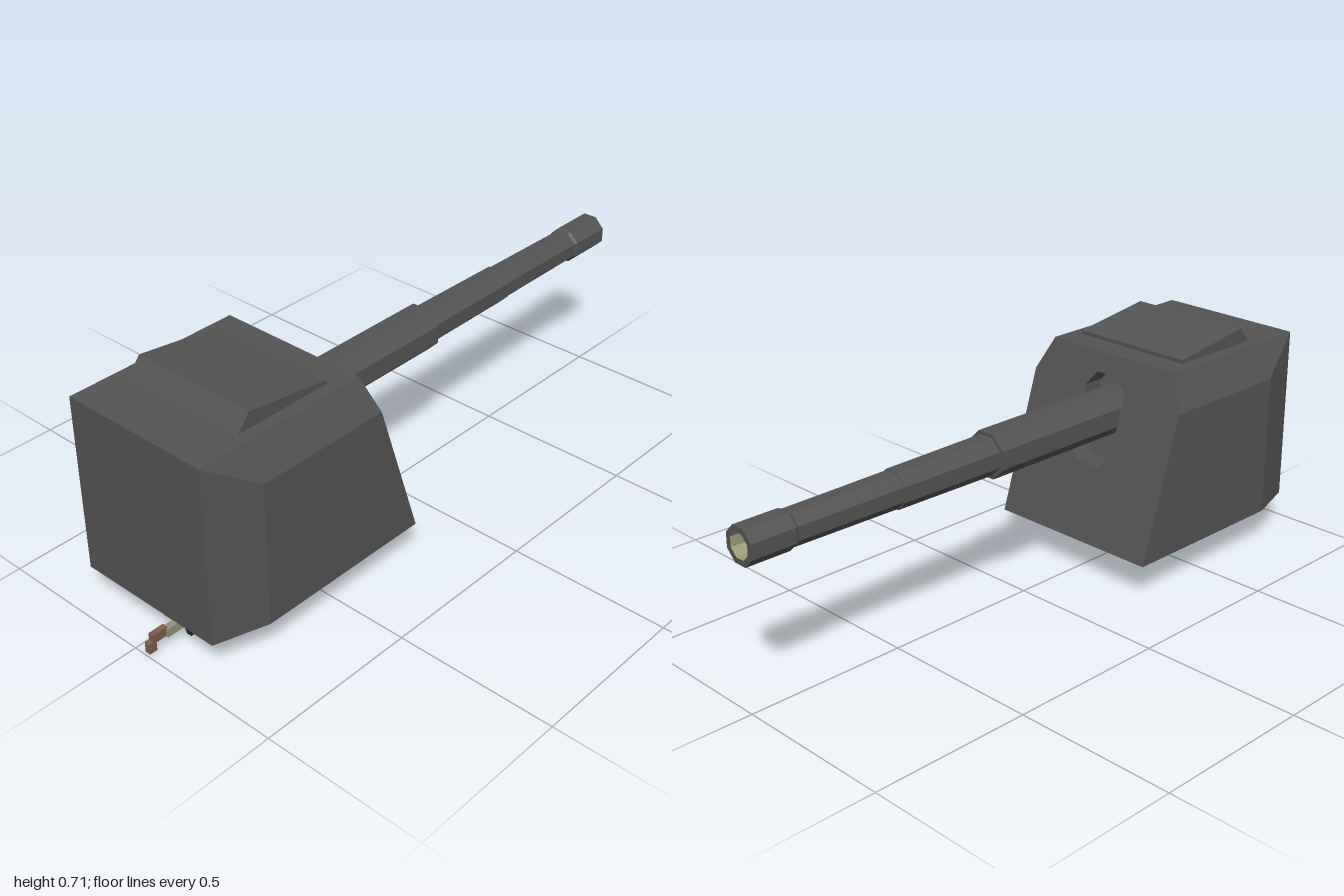
import * as THREE from 'three';

const mat = (name, color, side = THREE.FrontSide) => {
  const m = new THREE.MeshStandardMaterial({ color, side, flatShading: true });
  m.name = name;
  return m;
};

// Planar polygons, each turned to face away from the centre
function facesGeometry(faces, centre) {
  const pos = [];
  for (const f of faces) {
    const p = f.map(v => new THREE.Vector3(...v));
    const n = p[1].clone().sub(p[0]).cross(p[2].clone().sub(p[0]));
    if (n.dot(p[0].clone().sub(centre)) < 0) p.reverse();
    for (let i = 1; i < p.length - 1; i++)
      for (const v of [p[0], p[i], p[i + 1]]) pos.push(v.x, v.y, v.z);
  }
  const g = new THREE.BufferGeometry();
  g.setAttribute('position', new THREE.Float32BufferAttribute(pos, 3));
  g.computeVertexNormals();
  return g;
}

export function createModel() {
  const group = new THREE.Group();
  const steel = mat('steel', 0x545454, THREE.DoubleSide);
  const bore = mat('boreKhaki', 0xa09c7a, THREE.DoubleSide);
  const khaki = mat('uniformKhaki', 0x94927a);
  const brown = mat('bootBrown', 0x7d5c4b);
  const black = mat('gearBlack', 0x222222);
  const add = (name, geo, m, parent = group) => {
    const mesh = new THREE.Mesh(geo, m);
    mesh.name = name;
    parent.add(mesh);
    return mesh;
  };

  // Armoured housing: sloped gun face at the back, chamfered roof and corners
  const B = 0.11, T = 0.66, S = 0.555, W = 0.293, N = 0.242, F = 0.94, C = 0.78;
  const slopeZ = y => 0.205 + (y - B) * 0.318;
  const faces = [
    [[-N, B, F], [N, B, F], [N, T, F], [-N, T, F]],
    [[-N, T, F], [N, T, F], [N, T, slopeZ(T)], [-N, T, slopeZ(T)]],
    [[-N, B, F], [N, B, F], [W, B, C], [W, B, slopeZ(B)], [-W, B, slopeZ(B)], [-W, B, C]],
  ];
  for (const s of [-1, 1]) faces.push(
    [[s * W, B, C], [s * W, S, C], [s * W, S, slopeZ(S)], [s * W, B, slopeZ(B)]],
    [[s * N, B, F], [s * N, T, F], [s * W, S, C], [s * W, B, C]],
    [[s * N, T, F], [s * N, T, slopeZ(T)], [s * W, S, slopeZ(S)], [s * W, S, C]],
  );
  add('housing', facesGeometry(faces, new THREE.Vector3(0, 0.4, 0.6)), steel);

  // Sloped gun face with the elongated eight-sided slot
  const hole = [[-0.045, 0.335], [0.045, 0.335], [0.078, 0.385], [0.078, 0.555],
    [0.045, 0.6], [-0.045, 0.6], [-0.078, 0.555], [-0.078, 0.385]];
  const outline = [[-W, B], [W, B], [W, S], [N, T], [-N, T], [-W, S]];
  const v2 = pts => pts.map(p => new THREE.Vector2(...p));
  const leanBack = (geo, depth) => {
    const p = geo.attributes.position;
    for (let i = 0; i < p.count; i++) {
      p.setXYZ(i, -p.getX(i), p.getY(i), slopeZ(p.getY(i)) + depth);
    }
    // Mirroring in x turns the face towards -z, so restore matching normals
    geo.computeVertexNormals();
    return geo;
  };
  const shape = new THREE.Shape(v2(outline));
  shape.holes.push(new THREE.Path(v2(hole)));
  add('gunFace', leanBack(new THREE.ShapeGeometry(shape), 0), steel);
  add('slotBack', leanBack(new THREE.ShapeGeometry(new THREE.Shape(v2(hole))), 0.07), steel);
  const walls = hole.map(([x, y], i) => {
    const [u, v] = hole[(i + 1) % hole.length];
    return [[x, y, slopeZ(y)], [u, v, slopeZ(v)], [u, v, slopeZ(v) + 0.07], [x, y, slopeZ(y) + 0.07]];
  });
  add('slotWalls', facesGeometry(walls, new THREE.Vector3(0, 0.47, 0.35)), steel);

  // Roof hatch, a wedge highest towards the front
  const hatch = new THREE.Shape(v2([[0.78, 0.655], [0.735, 0.708], [0.46, 0.672], [0.46, 0.655]]));
  const hatchGeo = new THREE.ExtrudeGeometry(hatch, { depth: 0.408, bevelEnabled: false });
  hatchGeo.rotateY(-Math.PI / 2).translate(0.204, 0, 0);
  add('roofHatch', hatchGeo, steel);

  // Eight-sided barrel in steps, pointing backwards; radii are to the flats
  const barrel = new THREE.Group();
  barrel.name = 'barrel';
  barrel.position.y = 0.487;
  group.add(barrel);
  const k = 1 / Math.cos(Math.PI / 8);
  const tube = (name, profile, m) => {
    const g = new THREE.LatheGeometry(v2(profile.map(([r, z]) => [r * k, -z])), 8, Math.PI / 8)
      .rotateX(-Math.PI / 2);
    return add(name, g.toNonIndexed(), m, barrel);
  };
  tube('barrelSleeve', [[0, 0.41], [0.068, 0.41], [0.068, -0.15], [0.057, -0.15]], steel);
  tube('barrelTube', [[0.057, -0.15], [0.054, -0.5], [0.051, -0.5], [0.048, -0.85]], steel);
  tube('muzzle', [[0.048, -0.85], [0.053, -0.86], [0.053, -1], [0.036, -1]], steel);
  tube('bore', [[0.036, -1], [0.036, -0.8], [0, -0.8]], bore);

  // Blocky crew legs hanging below the floor: [x0, x1, y0, y1, z0, z1, material]
  const legs = {
    rearCrewLegs: [
      [-0.06, -0.005, 0.088, 0.115, 0.72, 0.755, khaki],
      [-0.052, -0.015, 0.068, 0.09, 0.725, 0.75, khaki],
      [-0.042, -0.025, 0.058, 0.072, 0.725, 0.75, black],
      [-0.05, -0.027, 0.015, 0.06, 0.727, 0.752, brown],
      [-0.06, -0.035, 0, 0.02, 0.705, 0.755, brown],
      [-0.04, -0.005, 0.092, 0.105, 0.755, 0.83, khaki],
    ],
    frontCrewLegs: [
      [0.015, 0.068, 0.095, 0.115, 0.85, 0.915, khaki],
      [0.005, 0.07, 0.086, 0.096, 0.855, 0.91, black],
      [0.015, 0.066, 0.06, 0.088, 0.86, 0.905, khaki],
      [0.024, 0.045, 0.012, 0.062, 0.855, 0.89, khaki],
      [0.045, 0.066, 0.035, 0.062, 0.87, 0.94, khaki],
      [0.06, 0.07, 0.015, 0.085, 0.86, 0.875, black],
      [0.07, 0.088, 0.014, 0.04, 0.85, 0.88, black],
      [0.042, 0.06, 0.038, 0.066, 0.935, 0.985, brown],
      [0.042, 0.06, 0.012, 0.045, 0.975, 1, brown],
    ],
  };
  for (const [name, blocks] of Object.entries(legs)) {
    const crew = new THREE.Group();
    crew.name = name;
    group.add(crew);
    for (const [x0, x1, y0, y1, z0, z1, m] of blocks) {
      add('legBlock', new THREE.BoxGeometry(x1 - x0, y1 - y0, z1 - z0), m, crew)
        .position.set((x0 + x1) / 2, (y0 + y1) / 2, (z0 + z1) / 2);
    }
  }
  return group;
}
